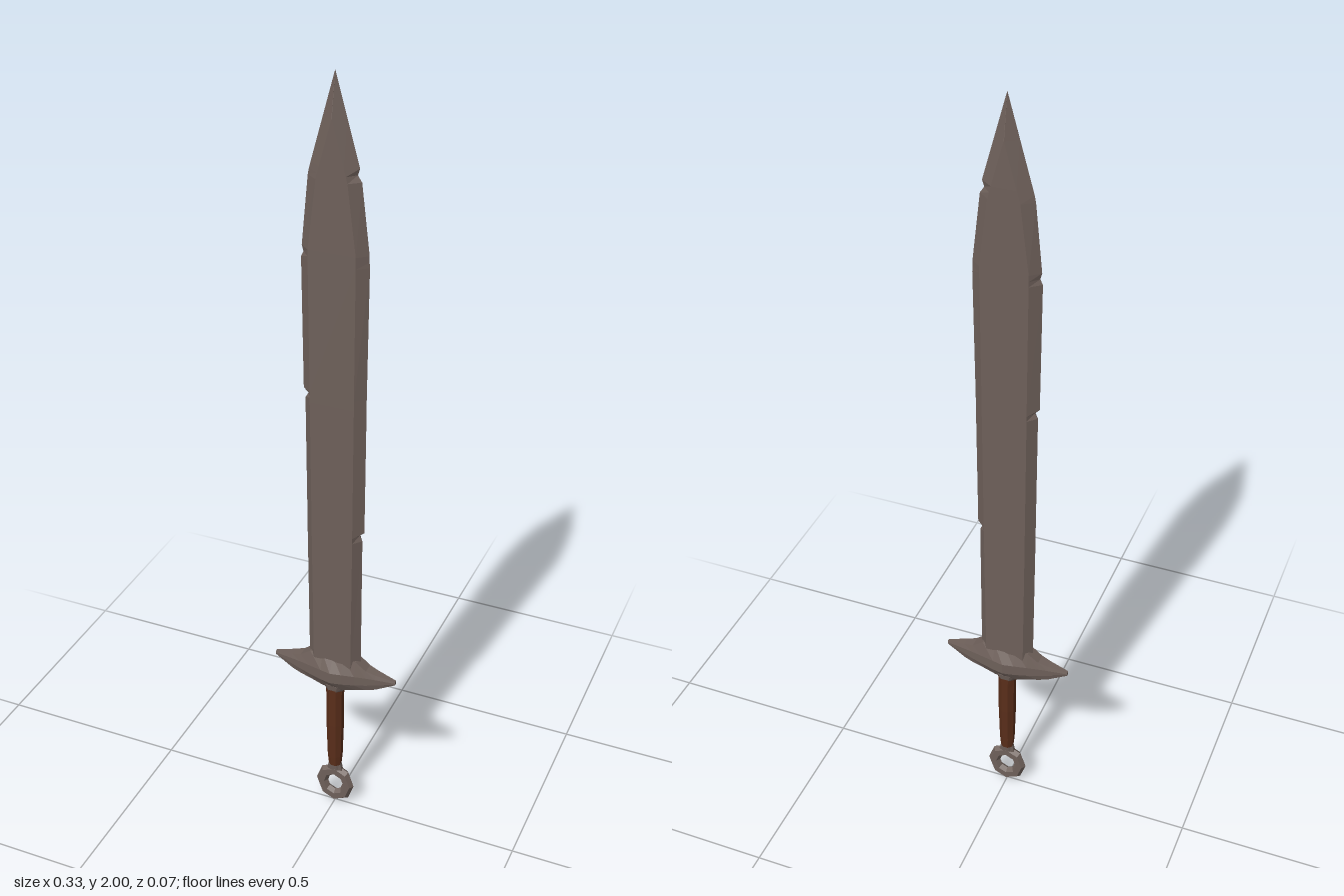
import * as THREE from 'three';

// Joins matching rings of points into a closed, faceted solid.
function loft(rings) {
  const pos = [];
  const tri = (a, b, c) => pos.push(...a, ...b, ...c);
  const n = rings[0].length;
  for (let i = 0; i < rings.length - 1; i++) {
    for (let j = 0; j < n; j++) {
      const k = (j + 1) % n;
      const a = rings[i][j], b = rings[i][k], c = rings[i + 1][k], d = rings[i + 1][j];
      tri(a, b, c);
      tri(a, c, d);
    }
  }
  const first = rings[0], last = rings[rings.length - 1];
  for (let j = 1; j < n - 1; j++) {
    tri(first[0], first[j + 1], first[j]);
    tri(last[0], last[j], last[j + 1]);
  }
  const g = new THREE.BufferGeometry();
  g.setAttribute('position', new THREE.Float32BufferAttribute(pos, 3));
  g.computeVertexNormals();
  return g;
}

export function createModel() {
  const group = new THREE.Group();
  const steel = new THREE.MeshStandardMaterial({ color: 0x6e605a, flatShading: true });
  steel.name = 'weatheredSteel';
  const leather = new THREE.MeshStandardMaterial({ color: 0x5a2e1a, flatShading: true });
  leather.name = 'brownGrip';

  const add = (name, geometry, material) => {
    const mesh = new THREE.Mesh(geometry, material);
    mesh.name = name;
    group.add(mesh);
    return mesh;
  };

  // Blade: height, right edge, left edge, half width of flat, half thickness.
  // Short steps in the edge columns are nicks.
  const bladeStations = [
    [0.47, -0.070, 0.070, 0.050, 0.021],
    [0.855, -0.073, 0.071, 0.053, 0.021],
    [0.870, -0.073, 0.064, 0.053, 0.021],
    [0.880, -0.073, 0.076, 0.053, 0.021],
    [1.220, -0.075, 0.078, 0.055, 0.021],
    [1.233, -0.067, 0.078, 0.055, 0.021],
    [1.245, -0.079, 0.078, 0.055, 0.021],
    [1.572, -0.082, 0.082, 0.057, 0.021],
    [1.585, -0.076, 0.081, 0.057, 0.021],
    [1.600, -0.080, 0.081, 0.057, 0.021],
    [1.765, -0.064, 0.062, 0.037, 0.021],
    [1.780, -0.061, 0.052, 0.033, 0.021],
    [1.795, -0.057, 0.057, 0.029, 0.021],
    [1.900, -0.028, 0.028, 0.0005, 0.020],
    [2.000, -0.0003, 0.0003, 0.0002, 0.0003],
  ];
  add('blade', loft(bladeStations.map(([y, l, r, f, z]) => [
    [r, y, 0], [f, y, -z], [-f, y, -z], [l, y, 0], [-f, y, z], [f, y, z],
  ])), steel);

  // Crossguard: x, bottom, lower crease, upper crease, top, half depth.
  const half = [
    [0, 0.393, 0.425, 0.455, 0.497, 0.037],
    [0.028, 0.395, 0.425, 0.455, 0.497, 0.0316],
    [0.062, 0.407, 0.428, 0.455, 0.495, 0.025],
    [0.090, 0.414, 0.432, 0.455, 0.474, 0.0196],
    [0.115, 0.421, 0.437, 0.454, 0.466, 0.0148],
    [0.165, 0.445, 0.448, 0.451, 0.455, 0.005],
  ];
  const mirrored = half.slice(1).reverse().map(([x, ...rest]) => [-x, ...rest]);
  add('crossguard', loft([...mirrored, ...half].map(([x, b, lo, hi, t, d]) => {
    const s = Math.min(d, 0.021) * 0.75;
    return [
      [x, t, s], [x, hi, d], [x, lo, d], [x, b, s],
      [x, b, -s], [x, lo, -d], [x, hi, -d], [x, t, -s],
    ];
  })), steel);

  // Eight-sided rings around the handle axis.
  const ovalRing = ([y, rx, rz]) => Array.from({ length: 8 }, (_, i) => {
    const a = (i + 0.5) * Math.PI / 4;
    return [Math.cos(a) * rx, y, -Math.sin(a) * rz];
  });
  add('grip', loft([
    [0.130, 0.017, 0.016], [0.16, 0.020, 0.018], [0.27, 0.023, 0.022],
    [0.36, 0.023, 0.022], [0.402, 0.025, 0.022],
  ].map(ovalRing)), leather);
  add('guardCollar', loft([[0.383, 0.024, 0.021], [0.405, 0.040, 0.026]].map(ovalRing)), steel);
  add('pommelNeck', loft([[0.105, 0.024, 0.011], [0.138, 0.016, 0.014]].map(ovalRing)), steel);

  // Ring pommel, slightly tall and flattened front to back.
  const ring = new THREE.TorusGeometry(0.037, 0.016, 6, 8);
  ring.scale(1, 1.17, 0.8);
  add('ringPommel', ring, steel).position.y = 0.062;

  return group;
}
